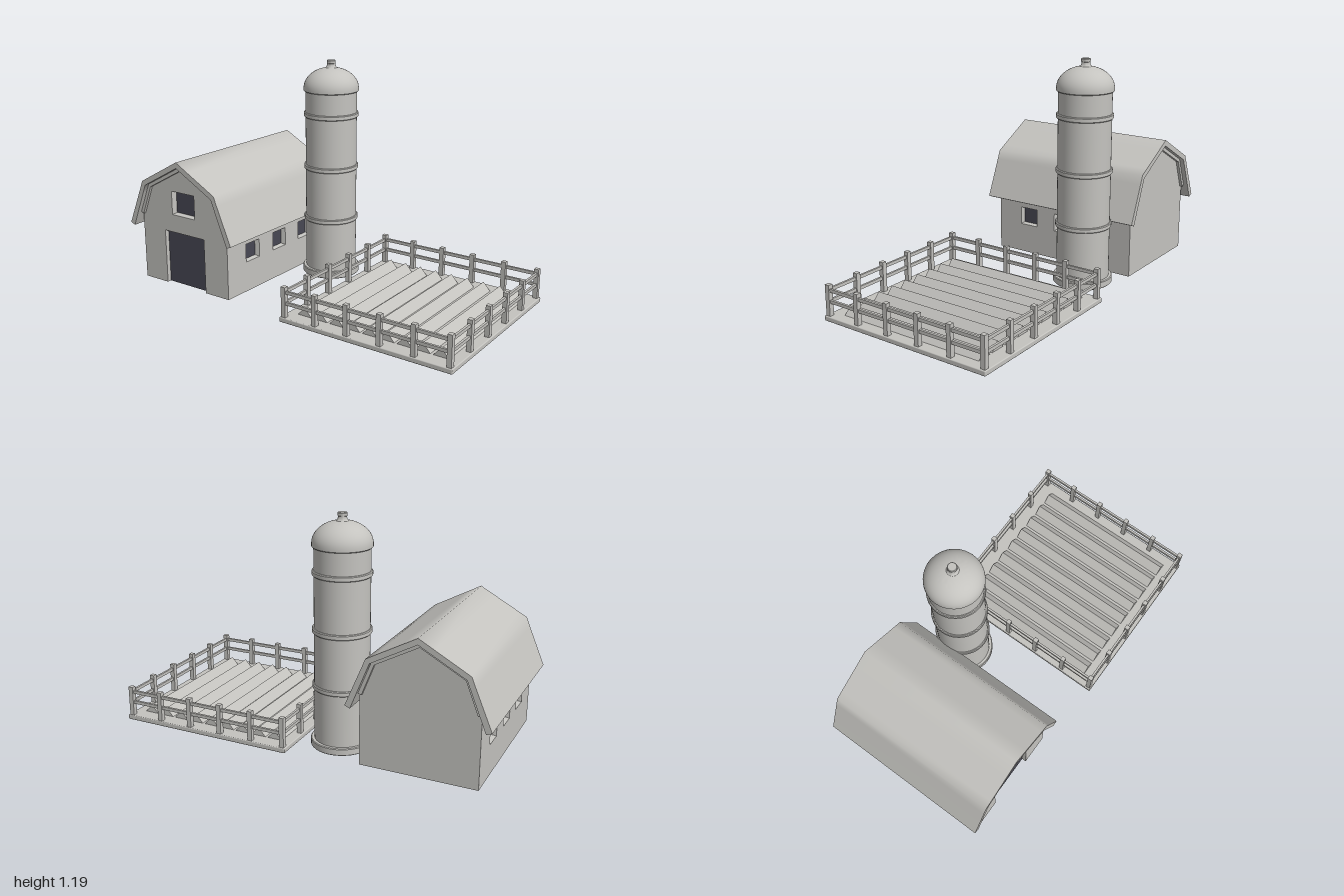
import * as THREE from 'three';
import { toCreasedNormals } from 'three/addons/utils/BufferGeometryUtils.js';
import { RoundedBoxGeometry } from 'three/addons/geometries/RoundedBoxGeometry.js';

const plaster = new THREE.MeshStandardMaterial({ color: 0xc4c3bf });
plaster.name = 'light grey';
const dark = new THREE.MeshStandardMaterial({ color: 0x484853 });
dark.name = 'dark slate';

function add(parent, name, geometry, material, x = 0, y = 0, z = 0) {
  const mesh = new THREE.Mesh(geometry, material);
  mesh.name = name;
  mesh.position.set(x, y, z);
  parent.add(mesh);
  return mesh;
}

// closed outline from points
const outline = (points) => new THREE.Shape(points.map(([x, y]) => new THREE.Vector2(x, y)));
// right half of a line (eave to ridge) continued down the left side
const mirrored = (half) => [...half, ...half.slice(0, -1).reverse().map(([x, y]) => [-x, y])];
const extrude = (shape, depth) => new THREE.ExtrudeGeometry(shape, { depth, bevelEnabled: false });

function rectHole(x, y, w, h) {
  return new THREE.Path([[-1, -1], [-1, 1], [1, 1], [1, -1]]
    .map(([a, b]) => new THREE.Vector2(x + a * w / 2, y + b * h / 2)));
}

// band between an outer and an inner half line, mirrored about the ridge
function band(outer, inner, depth) {
  return extrude(outline([...mirrored(outer), ...mirrored(inner).reverse()]), depth);
}

// window lining that narrows inwards, with a dark pane at its back; faces +z
function makeWindow(name, w, h, depth) {
  const group = new THREE.Group();
  group.name = name;
  const k = Math.SQRT1_2;
  let lining = new THREE.CylinderGeometry(k, k * 0.86, depth, 4, 1, true);
  lining.rotateY(Math.PI / 4);
  lining.rotateX(Math.PI / 2);
  lining = lining.toNonIndexed();
  // swap corners so the lining faces inwards
  const p = lining.attributes.position;
  const a = new THREE.Vector3(), b = new THREE.Vector3();
  for (let i = 0; i < p.count; i += 3) {
    a.fromBufferAttribute(p, i);
    b.fromBufferAttribute(p, i + 1);
    p.setXYZ(i, b.x, b.y, b.z);
    p.setXYZ(i + 1, a.x, a.y, a.z);
  }
  lining.scale(w, h, 1);
  lining.computeVertexNormals();
  add(group, 'windowLining', lining, plaster, 0, 0, -depth / 2);
  add(group, 'windowPane', new THREE.BoxGeometry(w, h, 0.006), dark, 0, 0, -depth + 0.001);
  return group;
}

function makeBarn() {
  const barn = new THREE.Group();
  barn.name = 'barn';
  const t = 0.03;

  // gable walls, the front one with doorway and loft window
  const gable = mirrored([[0.3, 0], [0.3, 0.36], [0.235, 0.535], [0, 0.66]]);
  const front = outline([...gable, [-0.14, 0], [-0.14, 0.3], [0.14, 0.3], [0.14, 0]]);
  front.holes.push(rectHole(0, 0.463, 0.16, 0.13));
  add(barn, 'frontWall', extrude(front, t), plaster, 0, 0, 0.4);
  add(barn, 'backWall', extrude(outline(gable), t), plaster, 0, 0, -0.43);
  const core = mirrored([[0.27, 0], [0.27, 0.4], [0.225, 0.53], [0, 0.65]]);
  add(barn, 'innerBody', extrude(outline(core), 0.8), plaster, 0, 0, -0.4);
  add(barn, 'door', new THREE.BoxGeometry(0.28, 0.3, 0.008), dark, 0, 0.15, 0.402);
  const loft = makeWindow('loftWindow', 0.16, 0.13, t);
  loft.position.set(0, 0.463, 0.43);
  barn.add(loft);

  // side walls with three windows each
  const windowsZ = [-0.227, 0, 0.227];
  const side = outline([[-0.4, 0], [0.4, 0], [0.4, 0.36], [-0.4, 0.36]]);
  windowsZ.forEach((z) => side.holes.push(rectHole(z, 0.215, 0.11, 0.1)));
  for (const s of [-1, 1]) {
    const wall = new THREE.Group();
    wall.name = s > 0 ? 'leftWall' : 'rightWall';
    wall.position.x = s * 0.27;
    wall.rotation.y = s * Math.PI / 2;
    add(wall, 'sidePanel', extrude(side, t), plaster);
    windowsZ.forEach((z) => {
      const w = makeWindow('sideWindow', 0.11, 0.1, t);
      w.position.set(z, 0.215, t);
      wall.add(w);
    });
    barn.add(wall);
  }

  // gambrel roof, with extra points that keep the soft shading near the bends
  const outer = [[0.36, 0.315], [0.275, 0.516], [0.255, 0.565], [0.21, 0.59], [0.08, 0.661], [0, 0.705]];
  const inner = [[0.332, 0.303], [0.254, 0.496], [0.234, 0.545], [0.19, 0.569], [0.08, 0.629], [0, 0.673]];
  add(barn, 'roof', toCreasedNormals(band(outer, inner, 0.94), 1.1), plaster, 0, 0, -0.47);
  const trimOuter = [[0.302, 0.378], [0.235, 0.546], [0, 0.674]];
  const trimInner = [[0.284, 0.371], [0.221, 0.532], [0, 0.652]];
  add(barn, 'gableTrim', band(trimOuter, trimInner, 0.89), plaster, 0, 0, -0.445);
  barn.position.x = -0.64;
  return barn;
}

function makeSilo() {
  const silo = new THREE.Group();
  silo.name = 'silo';
  const lathe = (points) => toCreasedNormals(
    new THREE.LatheGeometry(points.map(([x, y]) => new THREE.Vector2(x, y)), 48), 0.6);
  // flat ring with small chamfers
  const disc = (r, h) => lathe([[0, 0], [r - 0.004, 0], [r, 0.004], [r, h - 0.004], [r - 0.004, h], [0, h]]);

  add(silo, 'siloBase', disc(0.157, 0.038), plaster);
  add(silo, 'siloBody', new THREE.CylinderGeometry(0.139, 0.139, 1.01, 48), plaster, 0, 0.53);
  [0.309, 0.598, 0.886].forEach((y) => add(silo, 'siloBand', disc(0.148, 0.026), plaster, 0, y));

  // dome swept into the vent cap
  const dome = [[0, 1.025], [0.145, 1.025], [0.149, 1.029], [0.149, 1.04]];
  for (let i = 1; i <= 12; i++) {
    const a = i / 12 * 1.36;
    dome.push([0.149 * Math.cos(a), 1.04 + 0.112 * Math.sin(a)]);
  }
  dome.push([0.025, 1.156], [0.022, 1.165], [0.022, 1.172], [0.024, 1.174],
    [0.024, 1.187], [0.021, 1.19], [0, 1.19]);
  add(silo, 'siloDome', lathe(dome), plaster);
  silo.position.set(-0.162, 0, -0.246);
  return silo;
}

function makeField() {
  const field = new THREE.Group();
  field.name = 'field';
  add(field, 'fieldBase', new RoundedBoxGeometry(0.957, 0.026, 0.976, 2, 0.005), plaster, 0, 0.013, 0);

  // ploughed ridges
  const ridge = extrude(outline([[-0.041, 0], [0.041, 0], [0, 0.045]]), 0.816);
  for (let i = -4; i <= 4; i++) add(field, 'ridge', ridge, plaster, i * 0.095, 0.025, -0.408);

  // fence posts around the edge
  const hx = 0.458, hz = 0.469;
  const post = new THREE.BoxGeometry(0.025, 0.16, 0.025);
  for (let i = 0; i < 6; i++) {
    const f = -1 + i * 0.4;
    for (const s of [-1, 1]) {
      add(field, 'fencePost', post, plaster, f * hx, 0.105, s * hz);
      if (i > 0 && i < 5) add(field, 'fencePost', post, plaster, s * hx, 0.105, f * hz);
    }
  }

  // two rails on each side
  for (const y of [0.099, 0.157]) {
    for (const s of [-1, 1]) {
      add(field, 'fenceRail', new THREE.BoxGeometry(hx * 2, 0.017, 0.012), plaster, 0, y, s * hz);
      add(field, 'fenceRail', new THREE.BoxGeometry(0.012, 0.017, hz * 2), plaster, s * hx, y, 0);
    }
  }
  field.position.x = 0.518;
  return field;
}

export function createModel() {
  const model = new THREE.Group();
  model.name = 'farm';
  model.add(makeBarn(), makeSilo(), makeField());
  return model;
}
